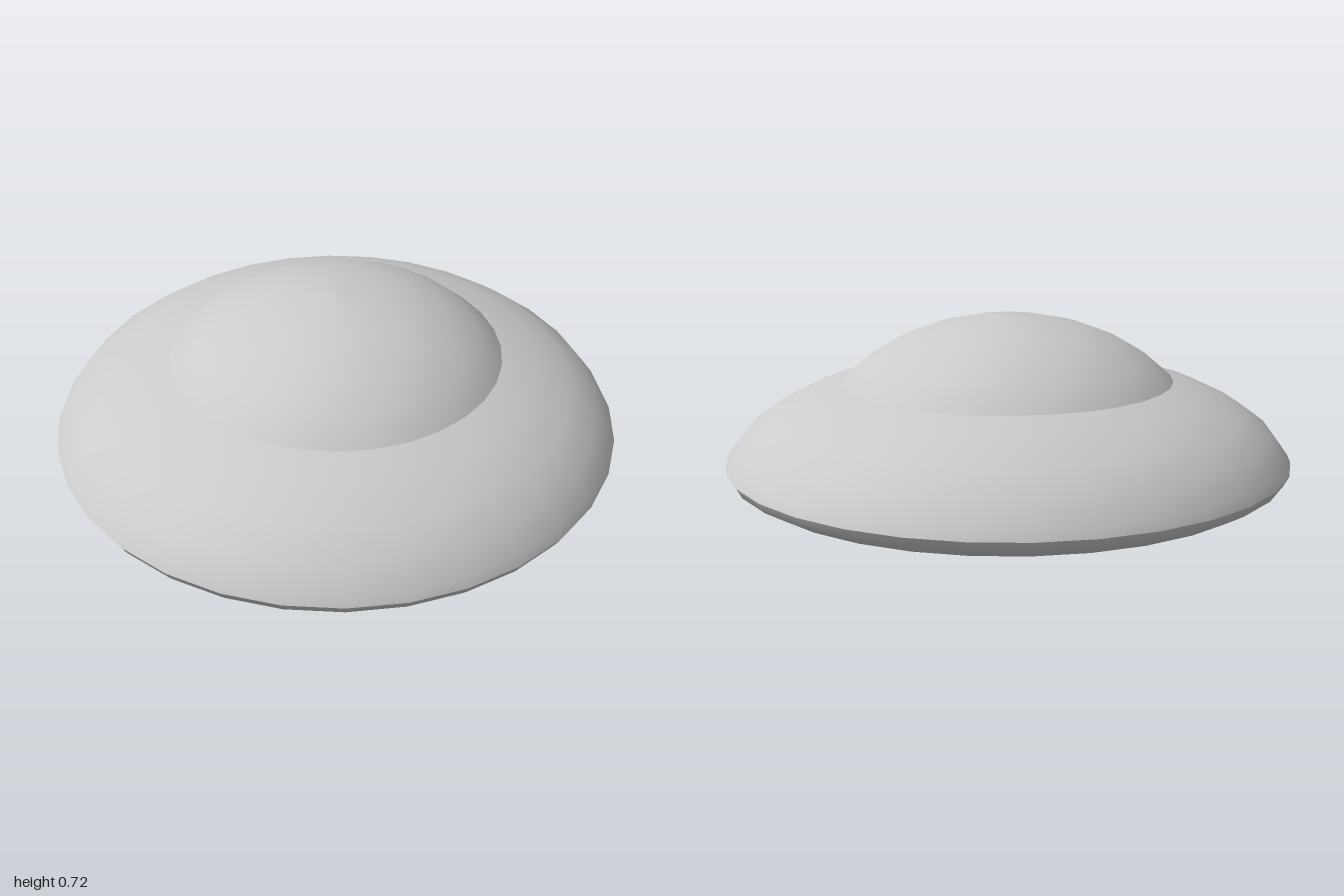
import * as THREE from 'three';

const SEGMENTS = 32;
const RIM_Y = 0.22;

export function createModel() {
  const model = new THREE.Group();
  const material = new THREE.MeshStandardMaterial({ color: 0xcccccc });

  const add = (name, geometry) => {
    const mesh = new THREE.Mesh(geometry, material);
    mesh.name = name;
    model.add(mesh);
    return mesh;
  };

  // Smooth surface of revolution; profile runs from bottom to top
  const lathe = (profile) =>
    new THREE.LatheGeometry(profile.map(([r, y]) => new THREE.Vector2(r, y)), SEGMENTS);

  // Quarter-ellipse profile from the axis (below) or rim (above) of a shell
  const arc = (from, to, rx, ry, steps = 8) =>
    Array.from({ length: steps + 1 }, (_, i) => {
      const a = from + ((to - from) * i) / steps;
      return [Math.max(0, rx * Math.cos(a)), RIM_Y + ry * Math.sin(a)];
    });

  // Shallow underside bowl
  add('lowerHull', lathe(arc(-Math.PI / 2, 0, 1, 0.178)));

  // Upper shell, curving in from the rim and closing under the dome
  add('upperHull', lathe([
    [1, RIM_Y], [0.985, 0.25], [0.93, 0.324], [0.835, 0.395], [0.71, 0.457],
    [0.56, 0.505], [0.385, 0.545], [0.195, 0.57], [0, 0.58],
  ]));

  // Raised central dome
  add('dome', lathe(arc(0, Math.PI / 2, 0.7, 0.504)));

  // Flat round foot
  add('base', new THREE.CylinderGeometry(0.4, 0.4, 0.12, SEGMENTS)).position.y = 0.06;

  return model;
}
